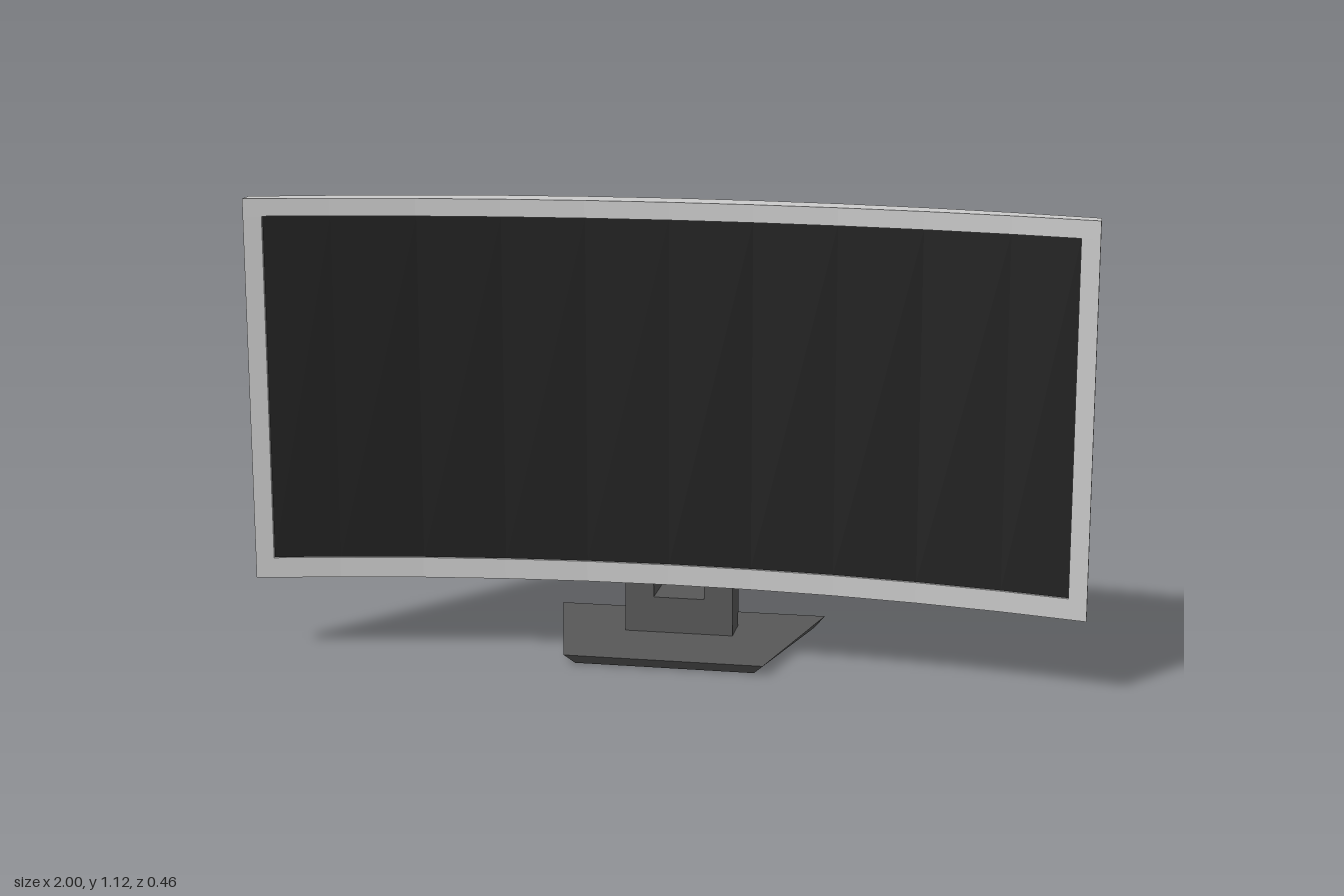
import * as THREE from 'three';

const mat = (color) => new THREE.MeshStandardMaterial({ color, flatShading: true });

// Panel dimensions
const BOTTOM = 0.19, TOP = 1.12, MID = (BOTTOM + TOP) / 2, HALF = (TOP - BOTTOM) / 2;
const SCREEN_X = 0.957, SCREEN_Y0 = 0.24, SCREEN_Y1 = 1.078, RECESS = 0.01;
const COLUMNS = 10;

// Front curve, straight between the facet edges
function frontZ(x) {
  const step = 2 / COLUMNS, a = Math.abs(x);
  const i = Math.min(Math.floor(a / step + 1e-6), COLUMNS / 2 - 1);
  const curve = (t) => 0.11 + 0.12 * t * t;
  const t = (a - i * step) / step;
  return THREE.MathUtils.lerp(curve(i * step), curve((i + 1) * step), t);
}

// Back curve with a shallow bulge towards the middle
function backZ(x, y) {
  const v = (y - MID) / HALF;
  const bulge = 0.038 * Math.max(0, 1 - (x / 0.8) ** 2) * (1 - v * v);
  return 0.037 + 0.148 * x * x - bulge;
}

// Move every vertex of a geometry by a rule
function reshape(geometry, rule) {
  const p = geometry.attributes.position, v = new THREE.Vector3();
  for (let i = 0; i < p.count; i++) {
    rule(v.fromBufferAttribute(p, i));
    p.setXYZ(i, v.x, v.y, v.z);
  }
  geometry.computeVertexNormals();
  return geometry;
}

export function createModel() {
  const model = new THREE.Group();
  const shell = mat(0xcccccc), dark = mat(0x585858), black = mat(0x1e1e1e);

  const add = (name, geometry, material, parent = model) => {
    const mesh = new THREE.Mesh(geometry, material);
    mesh.name = name;
    parent.add(mesh);
    return mesh;
  };

  // Curved housing
  const housing = new THREE.BoxGeometry(2, TOP - BOTTOM, 1, COLUMNS, 6, 1).translate(0, MID, 0);
  add('housing', reshape(housing, (v) => {
    v.z = v.z > 0 ? frontZ(v.x) - RECESS : backZ(v.x, v.y);
  }), shell);

  // Raised bezel around the screen
  const bezel = new THREE.Group();
  bezel.name = 'bezel';
  model.add(bezel);
  const bar = (name, x0, x1, y0, y1, columns) => {
    const g = new THREE.BoxGeometry(x1 - x0, y1 - y0, 1, columns, 1, 1)
      .translate((x0 + x1) / 2, (y0 + y1) / 2, 0);
    add(name, reshape(g, (v) => { v.z = frontZ(v.x) - (v.z > 0 ? 0 : RECESS); }), shell, bezel);
  };
  bar('bezelTop', -1, 1, SCREEN_Y1, TOP, COLUMNS);
  bar('bezelBottom', -1, 1, BOTTOM, SCREEN_Y0, COLUMNS);
  bar('bezelLeft', SCREEN_X, 1, SCREEN_Y0, SCREEN_Y1, 1);
  bar('bezelRight', -1, -SCREEN_X, SCREEN_Y0, SCREEN_Y1, 1);

  // Screen surface, set just behind the bezel
  const screen = new THREE.PlaneGeometry(2, SCREEN_Y1 - SCREEN_Y0, COLUMNS, 1)
    .translate(0, (SCREEN_Y0 + SCREEN_Y1) / 2, 0);
  add('screen', reshape(screen, (v) => {
    v.x = THREE.MathUtils.clamp(v.x, -SCREEN_X, SCREEN_X);
    v.z = frontZ(v.x) - RECESS + 0.003;
  }), black);

  // Mount between housing and column
  add('mount', new THREE.BoxGeometry(0.09, 0.09, 0.05).translate(0, 0.61, -0.01), dark);

  // Column with a rounded back and a cable opening
  const column = new THREE.Group();
  column.name = 'column';
  model.add(column);
  const xs = [-0.135, -0.1, -0.063, -0.03, 0.03, 0.063, 0.1, 0.135];
  const block = (name, x0, x1, y0, y1) => {
    const back = xs.filter((x) => x >= x0 && x <= x1)
      .map((x) => new THREE.Vector2(x, 0.15 - 0.032 * (x / 0.135) ** 2));
    const outline = [new THREE.Vector2(x1, 0.027), new THREE.Vector2(x0, 0.027), ...back];
    const g = new THREE.ExtrudeGeometry(new THREE.Shape(outline), { depth: y1 - y0, bevelEnabled: false });
    add(name, g.rotateX(-Math.PI / 2).translate(0, y0, 0), dark, column);
  };
  block('columnFoot', -0.135, 0.135, 0.02, 0.115);
  block('columnLegRight', -0.135, -0.063, 0.115, 0.285);
  block('columnLegLeft', 0.063, 0.135, 0.115, 0.285);
  block('columnUpper', -0.135, 0.135, 0.285, 0.725);

  // Base plate: a trapezoid, wider at the back, tapering towards the floor
  add('base', reshape(new THREE.BoxGeometry(2, 0.025, 2).translate(0, 0.0125, 0), (v) => {
    const inset = v.y > 0.01 ? 0 : 0.02;
    const front = v.z > 0;
    v.x *= (front ? 0.243 : 0.34) - inset * 1.2;
    v.z = front ? 0.193 - inset : -0.23 + inset;
  }), dark);

  return model;
}
